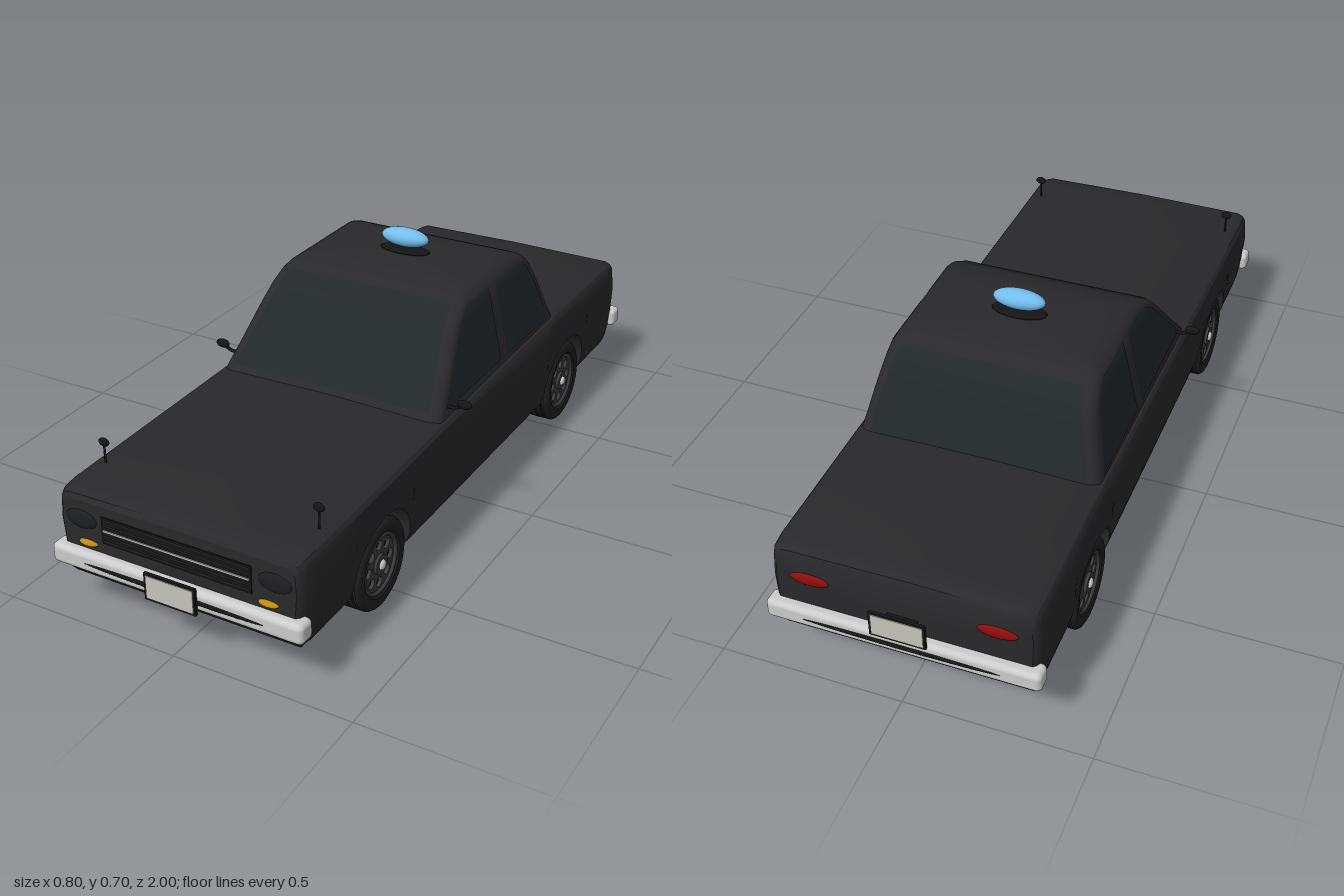
import * as THREE from 'three';
import { toCreasedNormals } from 'three/addons/utils/BufferGeometryUtils.js';
import { RoundedBoxGeometry } from 'three/addons/geometries/RoundedBoxGeometry.js';

const mat = (color, side = THREE.FrontSide) => new THREE.MeshStandardMaterial({ color, side });
const M = {
  paint: mat(0x29292b), glass: mat(0x22272a, THREE.DoubleSide), black: mat(0x151515),
  tyre: mat(0x202020), rim: mat(0x3c3c3e), chrome: mat(0xcccccc), plate: mat(0xc4c4ba),
  amber: mat(0xc08a10), red: mat(0x900c0c), blue: mat(0x74bdec), lamp: mat(0x1c1f22),
};

function add(parent, name, geo, material, x = 0, y = 0, z = 0) {
  const m = new THREE.Mesh(geo, material);
  m.name = name;
  m.position.set(x, y, z);
  parent.add(m);
  return m;
}
const ellipsoid = (a, b, c) => new THREE.SphereGeometry(1, 28, 16).scale(a, b, c);

// Piecewise-linear lookup in rows [key, v1, v2...] with ascending keys
function look(rows, t, col = 1) {
  if (t <= rows[0][0]) return rows[0][col];
  for (let i = 1; i < rows.length; i++) {
    const a = rows[i - 1], b = rows[i];
    if (t <= b[0]) return a[col] + (b[col] - a[col]) * (t - a[0]) / (b[0] - a[0]);
  }
  return rows[rows.length - 1][col];
}

// Skin through rings of [x, y, z]; closed rings get end caps
function loft(rings, closed = true, crease = 0.5) {
  const n = rings[0].length, pos = rings.flat(2), idx = [];
  const span = closed ? n : n - 1;
  for (let i = 0; i < rings.length - 1; i++) {
    for (let j = 0; j < span; j++) {
      const a = i * n + j, b = i * n + (j + 1) % n;
      idx.push(a, b, b + n, a, b + n, a + n);
    }
  }
  if (closed) {
    [0, rings.length - 1].forEach((r, end) => {
      const c = pos.length / 3;
      for (let k = 0; k < 3; k++) pos.push(rings[r].reduce((s, p) => s + p[k], 0) / n);
      for (let j = 0; j < n; j++) {
        const a = r * n + j, b = r * n + (j + 1) % n;
        if (end) idx.push(c, a, b); else idx.push(c, b, a);
      }
    });
  }
  const g = new THREE.BufferGeometry();
  g.setAttribute('position', new THREE.Float32BufferAttribute(pos, 3));
  g.setIndex(idx);
  return toCreasedNormals(g, crease);
}

const AXLES = [-0.57, 0.575], ARCH_R = 0.145, AXLE_Y = 0.13;
// z, underside height, top height, width factor
const LENGTH = [
  [-0.962, 0.15, 0.362, 0.945], [-0.955, 0.127, 0.376, 0.97], [-0.94, 0.108, 0.384, 0.99],
  [-0.9, 0.09, 0.387, 1], [-0.5, 0.09, 0.387, 1], [0.25, 0.09, 0.374, 1], [0.9, 0.09, 0.36, 1],
  [0.94, 0.108, 0.357, 0.99], [0.957, 0.127, 0.35, 0.97], [0.965, 0.15, 0.338, 0.945],
];
// Half width of the body by height
const FLANK = [[0.09, 0.315], [0.11, 0.333], [0.15, 0.344], [0.27, 0.355], [0.35, 0.349], [0.39, 0.343]];

function bodyGeometry() {
  const zs = LENGTH.map(r => r[0]);
  for (const c of AXLES) {
    zs.push(c - ARCH_R - 0.0005, c + ARCH_R + 0.0005);
    for (let i = 0; i <= 24; i++) zs.push(c - ARCH_R * Math.cos(Math.PI * i / 24));
  }
  zs.sort((a, b) => a - b);
  return loft(zs.map(z => {
    const low = look(LENGTH, z, 1), top = look(LENGTH, z, 2), k = look(LENGTH, z, 3);
    let sill = low;
    for (const c of AXLES) {
      const d = Math.abs(z - c);
      if (d <= ARCH_R + 1e-6) sill = AXLE_Y + Math.sqrt(Math.max(0, ARCH_R ** 2 - d * d));
    }
    const half = [[0, low], [0.25, low], [0.25, sill]];
    for (const t of [0, 0.08, 0.22, 0.45, 0.7, 0.88, 1]) {
      const y = sill + (top - 0.018 - sill) * t;
      half.push([look(FLANK, y) * k, y]);
    }
    const w = look(FLANK, top) * k;
    half.push([w - 0.005, top - 0.007], [w - 0.022, top], [0, top + 0.004]);
    const mirror = half.slice(1, -1).reverse().map(([x, y]) => [-x, y]);
    return [...half, ...mirror].map(([x, y]) => [x, y, z]);
  }));
}

// Cabin: height, front z, rear z, half width
const CABIN = [
  [0.36, 0.278, -0.505, 0.337], [0.385, 0.258, -0.494, 0.332], [0.43, 0.215, -0.474, 0.322],
  [0.48, 0.172, -0.455, 0.311], [0.53, 0.128, -0.433, 0.3], [0.57, 0.088, -0.41, 0.291],
  [0.595, 0.05, -0.388, 0.285], [0.612, 0.012, -0.364, 0.276], [0.624, -0.03, -0.334, 0.255],
  [0.63, -0.065, -0.305, 0.2], [0.635, -0.12, -0.25, 0.1],
];

function cabinGeometry() {
  return loft(CABIN.map(([y, zf, zr, w]) => {
    const r = 0.03, ring = [];
    // Corners run front left, rear left, rear right, front right
    [[w - r, zf - r, 90], [w - r, zr + r, 0], [r - w, zr + r, -90], [r - w, zf - r, -180]].forEach(([x, z, a0]) => {
      for (let i = 0; i <= 4; i++) {
        const a = (a0 - i * 22.5) * Math.PI / 180;
        ring.push([x + r * Math.cos(a), y, z + r * Math.sin(a)]);
      }
    });
    return ring;
  }), true, 0.6);
}

// Window pane lying just off the cabin surface; edge(y) gives its two ends
function pane(low, high, edge) {
  const ys = [low, ...CABIN.map(r => r[0]).filter(y => y > low && y < high), high];
  return loft(ys.map(edge), false);
}

function wheel() {
  const g = new THREE.Group();
  // Tyre with tread grooves
  const p = [[0.082, -0.03], [0.09, -0.038], [0.11, -0.04], [0.12, -0.035], [0.125, -0.028]];
  for (const h of [-0.018, 0, 0.018]) p.push([0.125, h - 0.003], [0.119, h - 0.002], [0.119, h + 0.002], [0.125, h + 0.003]);
  p.push([0.125, 0.028], [0.12, 0.035], [0.11, 0.04], [0.09, 0.038], [0.082, 0.03], [0.082, -0.03]);
  const tyre = new THREE.LatheGeometry(p.map(([x, y]) => new THREE.Vector2(x, y)), 40).rotateZ(-Math.PI / 2);
  add(g, 'tyre', toCreasedNormals(tyre, 0.6), M.tyre);
  // Pierced rim
  const disc = new THREE.Shape().absarc(0, 0, 0.084, 0, Math.PI * 2);
  for (let i = 0; i < 8; i++) {
    const a = i * Math.PI / 4;
    disc.holes.push(new THREE.Path().absarc(0.055 * Math.cos(a), 0.055 * Math.sin(a), 0.014, 0, Math.PI * 2, true));
  }
  const rim = new THREE.ExtrudeGeometry(disc, { depth: 0.01, bevelEnabled: false, curveSegments: 20 });
  add(g, 'rim', rim.rotateY(Math.PI / 2), M.rim, 0.018);
  add(g, 'rimEdge', new THREE.TorusGeometry(0.08, 0.006, 8, 40).rotateY(Math.PI / 2), M.rim, 0.03);
  const drum = (name, r, len, m, x) => add(g, name, new THREE.CylinderGeometry(r, r, len, 28).rotateZ(Math.PI / 2), m, x);
  drum('rimBack', 0.083, 0.006, M.black, 0.012);
  drum('hub', 0.028, 0.012, M.rim, 0.03);
  drum('brakeDrum', 0.055, 0.035, M.red, -0.01);
  drum('axleEnd', 0.02, 0.04, M.chrome, -0.02);
  add(g, 'hubCap', ellipsoid(0.008, 0.014, 0.014), M.chrome, 0.037);
  return g;
}

export function createModel() {
  const car = new THREE.Group();
  car.name = 'car';
  add(car, 'body', bodyGeometry(), M.paint);
  add(car, 'cabin', cabinGeometry(), M.paint);

  // Windscreen and rear window
  for (const [name, col, s] of [['windscreen', 1, 1], ['rearWindow', 2, -1]]) {
    add(car, name, pane(0.392, 0.606, y => {
      const w = look(CABIN, y, 3) - 0.03, z = look(CABIN, y, col) + s * 0.003;
      return [[-w, y, z], [w, y, z]];
    }), M.glass);
  }

  for (const s of [1, -1]) {
    // Side windows either side of the door pillar
    const side = (name, a, b) => add(car, name, pane(0.392, 0.602, y => {
      const x = s * (look(CABIN, y, 3) + 0.002);
      return [[x, y, a(y)], [x, y, b(y)]];
    }), M.glass);
    side('frontSideWindow', y => look(CABIN, y, 1) - 0.035, () => -0.125);
    side('rearSideWindow', () => -0.168, y => look(CABIN, y, 2) + 0.04);

    // Wheels
    AXLES.forEach(z => {
      const w = wheel();
      w.name = z > 0 ? 'frontWheel' : 'rearWheel';
      w.position.set(s * 0.305, 0.127, z);
      if (s < 0) w.rotation.y = Math.PI;
      car.add(w);
    });

    // Lamps
    add(car, 'headlight', ellipsoid(0.046, 0.026, 0.007), M.lamp, s * 0.278, 0.287, 0.965);
    add(car, 'indicator', ellipsoid(0.028, 0.008, 0.012), M.amber, s * 0.26, 0.225, 0.966);
    add(car, 'tailLight', ellipsoid(0.052, 0.018, 0.009), M.red, s * 0.245, 0.303, -0.962);

    // Fender and door mirrors
    add(car, 'fenderMirrorStalk', new THREE.CylinderGeometry(0.003, 0.003, 0.06, 8), M.black, s * 0.31, 0.385, 0.82);
    add(car, 'fenderMirror', ellipsoid(0.016, 0.012, 0.007), M.black, s * 0.31, 0.42, 0.82);
    const arm = new THREE.CatmullRomCurve3([[0.315, 0.396], [0.352, 0.398], [0.372, 0.41]]
      .map(([x, y]) => new THREE.Vector3(s * x, y, 0.2)));
    add(car, 'doorMirrorArm', new THREE.TubeGeometry(arm, 8, 0.005, 8), M.black);
    add(car, 'doorMirror', ellipsoid(0.021, 0.013, 0.01), M.black, s * 0.377, 0.413, 0.2);
  }

  // Bumpers and number plates
  for (const [s, y, plateY] of [[1, 0.178, 0.18], [-1, 0.19, 0.252]]) {
    const end = s > 0 ? 'front' : 'rear';
    add(car, end + 'Bumper', new RoundedBoxGeometry(0.725, 0.056, 0.054, 4, 0.015), M.chrome, 0, y, s * 0.963);
    add(car, end + 'BumperStrip', ellipsoid(0.26, 0.007, 0.004), M.black, 0, y - 0.001, s * 0.99);
    add(car, end + 'PlateFrame', new THREE.BoxGeometry(0.148, 0.076, 0.008), M.black, 0, plateY, s * 0.994);
    add(car, end + 'Plate', new THREE.BoxGeometry(0.136, 0.064, 0.004), M.plate, 0, plateY, s * 0.998);
  }
  add(car, 'rearPlateMount', new THREE.BoxGeometry(0.08, 0.04, 0.04), M.black, 0, 0.245, -0.972);

  // Grille bars
  add(car, 'grillePanel', new THREE.BoxGeometry(0.43, 0.076, 0.006), M.black, 0, 0.275, 0.965);
  for (let i = 0; i < 5; i++) {
    const mid = i === 2;
    add(car, 'grilleBar', new THREE.BoxGeometry(0.42, mid ? 0.005 : 0.003, 0.008), mid ? M.chrome : M.rim, 0, 0.245 + i * 0.015, 0.967);
  }

  // Roof light
  add(car, 'roofLightBase', ellipsoid(0.077, 0.006, 0.036), M.black, 0, 0.638, -0.175);
  add(car, 'roofLight', ellipsoid(0.073, 0.027, 0.031), M.blue, 0, 0.675, -0.175);
  return car;
}
